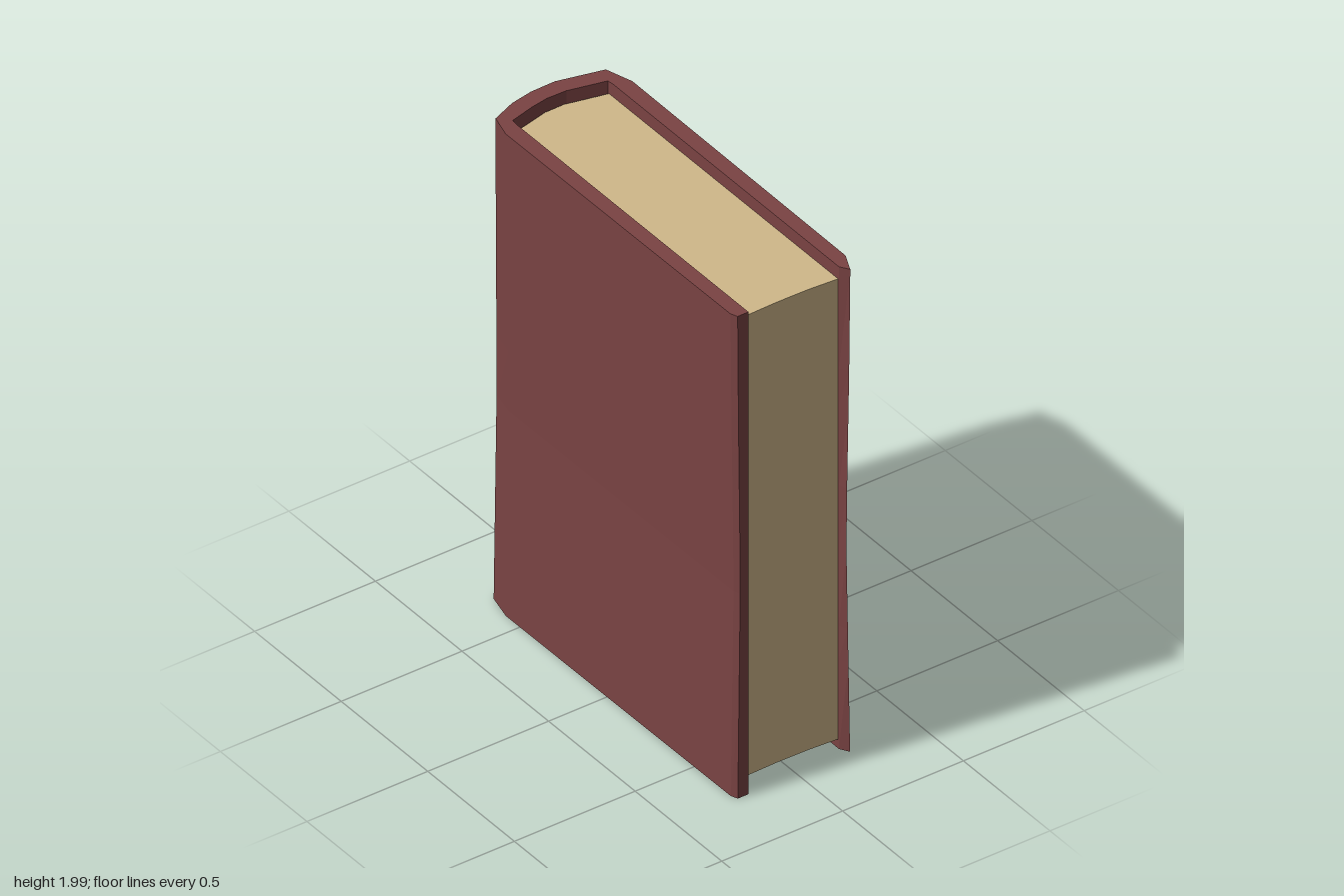
import * as THREE from 'three';

// Cover cross-section seen from above as [x, z], back fore-edge round the spine to the front fore-edge
const OUTER = [
  [0.735, -0.222], [0.66, -0.256], [-0.58, -0.263], [-0.7, -0.23], [-0.744, -0.05],
  [-0.742, 0.05], [-0.725, 0.14], [-0.685, 0.237], [-0.58, 0.262], [0.71, 0.256], [0.736, 0.245],
];
const INNER = [
  [0.7, -0.2], [0.66, -0.2], [-0.6, -0.2], [-0.63, -0.197], [-0.665, -0.05],
  [-0.667, 0.03], [-0.655, 0.1], [-0.63, 0.197], [-0.6, 0.2], [0.71, 0.2], [0.736, 0.2],
];
const LEVELS = [0.01, 0.38, 0.52, 0.85, 1.1, 1.43, 1.58, 2];
const BAND_ROWS = [1, 5];
const SPINE_START = 3, SPINE_END = 7;

// Outer boards pinch in at mid height, and the spine leans slightly inward at the top
function outerPoint([x, z], y) {
  const pinch = Math.max(0, 1 - Math.abs(y - 0.9) / 0.95);
  const board = z < 0 ? 0.037 : 0.014;
  const reach = Math.max(0, (Math.abs(z) - 0.19) / 0.07);
  const lean = x < -0.65 ? 0.012 * (y / 2) : 0;
  return new THREE.Vector3(x + lean, y, z - Math.sign(z) * board * pinch * Math.min(1, reach));
}

function quadGeometry(quads) {
  const pts = quads.flatMap(([a, b, c, d]) => [a, b, c, a, c, d]);
  const geometry = new THREE.BufferGeometry().setFromPoints(pts);
  geometry.computeVertexNormals();
  return geometry;
}

export function createModel() {
  const book = new THREE.Group();
  book.name = 'book';

  const makeMaterial = (name, color) => {
    const m = new THREE.MeshStandardMaterial({ color });
    m.name = name;
    return m;
  };
  const leather = makeMaterial('red leather', 0x7a4343);
  const spineLeather = makeMaterial('dark spine leather', 0x6b393d);
  const gold = makeMaterial('dull gold', 0xb5925c);
  const paper = makeMaterial('aged paper', 0xd0b88a);

  const add = (name, geometry, material) => {
    const mesh = new THREE.Mesh(geometry, material);
    mesh.name = name;
    book.add(mesh);
  };

  // Closed rings: outer side, then the inner side coming back
  const rings = LEVELS.map((y) => [
    ...OUTER.map((p) => outerPoint(p, y)),
    ...INNER.map(([x, z]) => new THREE.Vector3(x, y, z)).reverse(),
  ]);
  const n = rings[0].length;
  const cover = [], spine = [], bands = [];

  // Walls, sorted into cover, spine and spine bands
  for (let r = 0; r < rings.length - 1; r++) {
    for (let i = 0; i < n; i++) {
      const j = (i + 1) % n;
      const quad = [rings[r][i], rings[r][j], rings[r + 1][j], rings[r + 1][i]];
      const onSpine = i >= SPINE_START && i < SPINE_END;
      const bucket = !onSpine ? cover : BAND_ROWS.includes(r) ? bands : spine;
      bucket.push(quad);
    }
  }

  // Top and bottom rims
  const low = rings[0], high = rings[rings.length - 1];
  for (let i = 0; i < OUTER.length - 1; i++) {
    const k = n - 1 - i;
    cover.push([high[i], high[i + 1], high[k - 1], high[k]]);
    cover.push([low[k], low[k - 1], low[i + 1], low[i]]);
  }
  add('cover', quadGeometry(cover), leather);
  add('spine', quadGeometry(spine), spineLeather);
  add('spineBands', quadGeometry(bands), gold);

  // Page block with a rounded back and a faintly hollow fore-edge
  const outline = [
    [-0.625, -0.198], [-0.662, -0.04], [-0.662, 0.04], [-0.625, 0.198],
    [0.692, 0.198], [0.688, 0.05], [0.69, -0.08], [0.698, -0.198],
  ];
  const shape = new THREE.Shape(outline.map(([x, z]) => new THREE.Vector2(x, -z)));
  const pages = new THREE.ExtrudeGeometry(shape, { depth: 1.9, bevelEnabled: false });
  pages.rotateX(-Math.PI / 2).translate(0, 0.05, 0);
  add('pages', pages, paper);

  return book;
}
